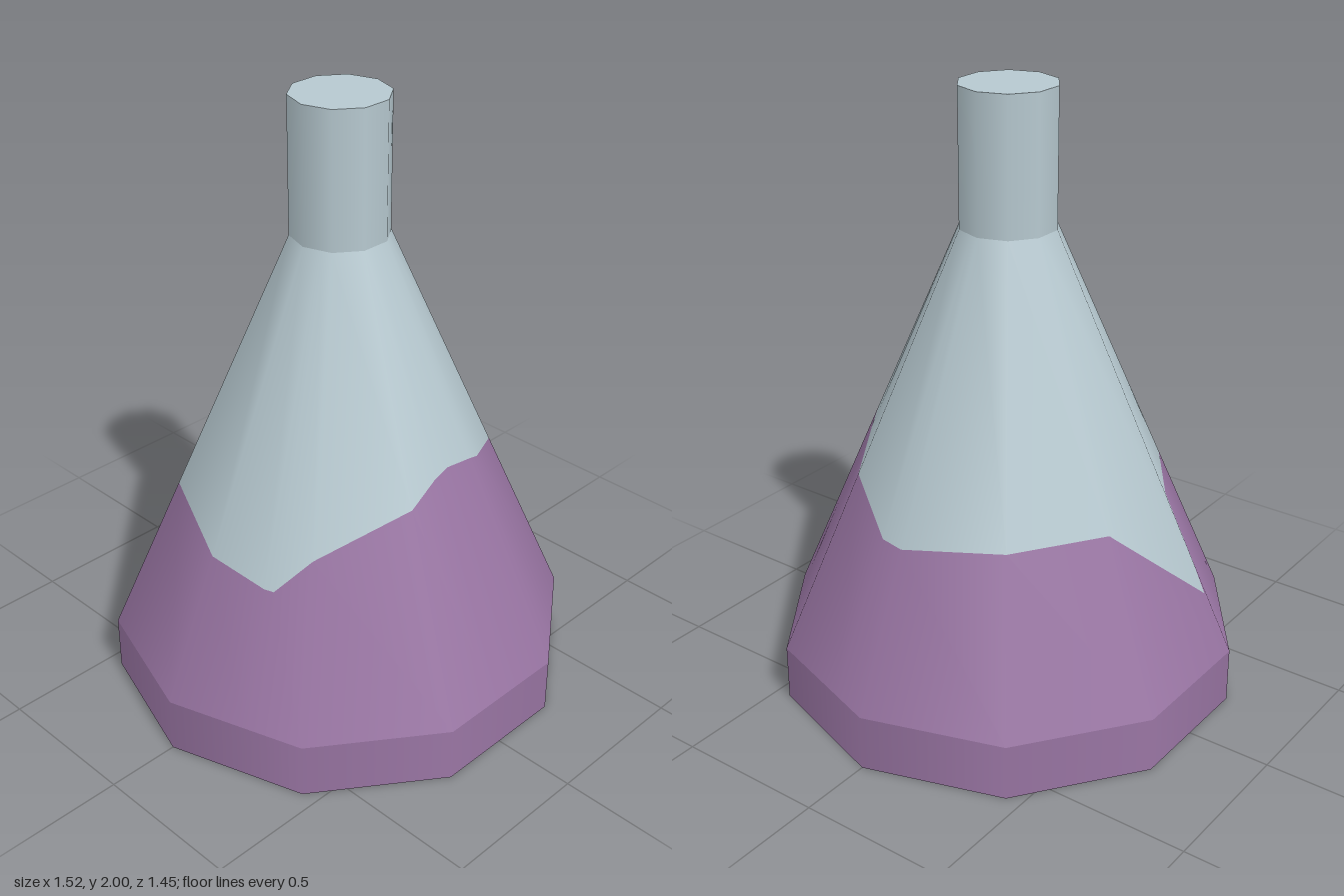
import * as THREE from 'three';

const SIDES = 10;
const BASE_R = 0.76, NECK_R = 0.157;
const BAND_Y = 0.185, NECK_Y = 1.56, TOP_Y = 2;
const SLOPE = (BASE_R - NECK_R) / (NECK_Y - BAND_Y);

// Uneven liquid edge: [angle from +x towards +z in degrees, height]
const EDGE = [
  [0, 0.675], [10.5, 0.667], [36, 0.785], [62, 0.845], [72, 0.883], [85, 0.893],
  [93, 0.88], [108, 0.833], [144, 0.715], [156.5, 0.597], [160, 0.597], [180, 0.645],
  [216, 0.715], [251, 0.72], [252, 0.5], [252.6, 0.39], [285.3, 0.695], [288, 0.717],
  [324, 0.71], [360, 0.675],
];

// Point on the ten-sided cone at an angle and height
function conePoint(deg, y) {
  const rad = THREE.MathUtils.degToRad;
  const corner = BASE_R - (y - BAND_Y) * SLOPE;
  const r = corner * Math.cos(rad(18)) / Math.cos(rad((deg % 36) - 18));
  return [r * Math.cos(rad(deg)), y, r * Math.sin(rad(deg))];
}

// Strip of the cone wall between two heights given per edge point
function coneStrip(lowOf, highOf) {
  const pos = [], nor = [], idx = [];
  EDGE.forEach(([deg, h], i) => {
    const a = THREE.MathUtils.degToRad(deg);
    const n = new THREE.Vector3(Math.cos(a), SLOPE, Math.sin(a)).normalize();
    pos.push(...conePoint(deg, lowOf(h)), ...conePoint(deg, highOf(h)));
    nor.push(...n.toArray(), ...n.toArray());
    if (i > 0) {
      const k = 2 * (i - 1);
      idx.push(k, k + 1, k + 3, k, k + 3, k + 2);
    }
  });
  const g = new THREE.BufferGeometry();
  g.setAttribute('position', new THREE.Float32BufferAttribute(pos, 3));
  g.setAttribute('normal', new THREE.Float32BufferAttribute(nor, 3));
  g.setIndex(idx);
  return g;
}

// Open vertical wall with a corner on the +x axis
function wall(r, y0, y1) {
  return new THREE.CylinderGeometry(r, r, y1 - y0, SIDES, 1, true, Math.PI / 2)
    .translate(0, (y0 + y1) / 2, 0);
}

// Flat ten-sided cap facing up or down
function cap(r, y, up) {
  return new THREE.CircleGeometry(r, SIDES)
    .rotateX(up ? -Math.PI / 2 : Math.PI / 2)
    .translate(0, y, 0);
}

export function createModel() {
  const glass = new THREE.MeshStandardMaterial({ name: 'paleGlass', color: 0xb6c8cf });
  const liquid = new THREE.MeshStandardMaterial({ name: 'purpleLiquid', color: 0x9975a3 });

  const group = new THREE.Group();
  group.name = 'flask';
  const add = (name, geometry, material) => {
    const mesh = new THREE.Mesh(geometry, material);
    mesh.name = name;
    group.add(mesh);
  };

  // Base and liquid-filled lower body
  add('base', cap(BASE_R, 0, false), glass);
  add('liquidBand', wall(BASE_R, 0, BAND_Y), liquid);
  add('liquidBody', coneStrip(() => BAND_Y, (h) => h), liquid);

  // Clear upper body, neck and closed top
  add('glassBody', coneStrip((h) => h, () => NECK_Y), glass);
  add('neck', wall(NECK_R, NECK_Y, TOP_Y), glass);
  add('neckTop', cap(NECK_R, TOP_Y, true), glass);

  return group;
}
